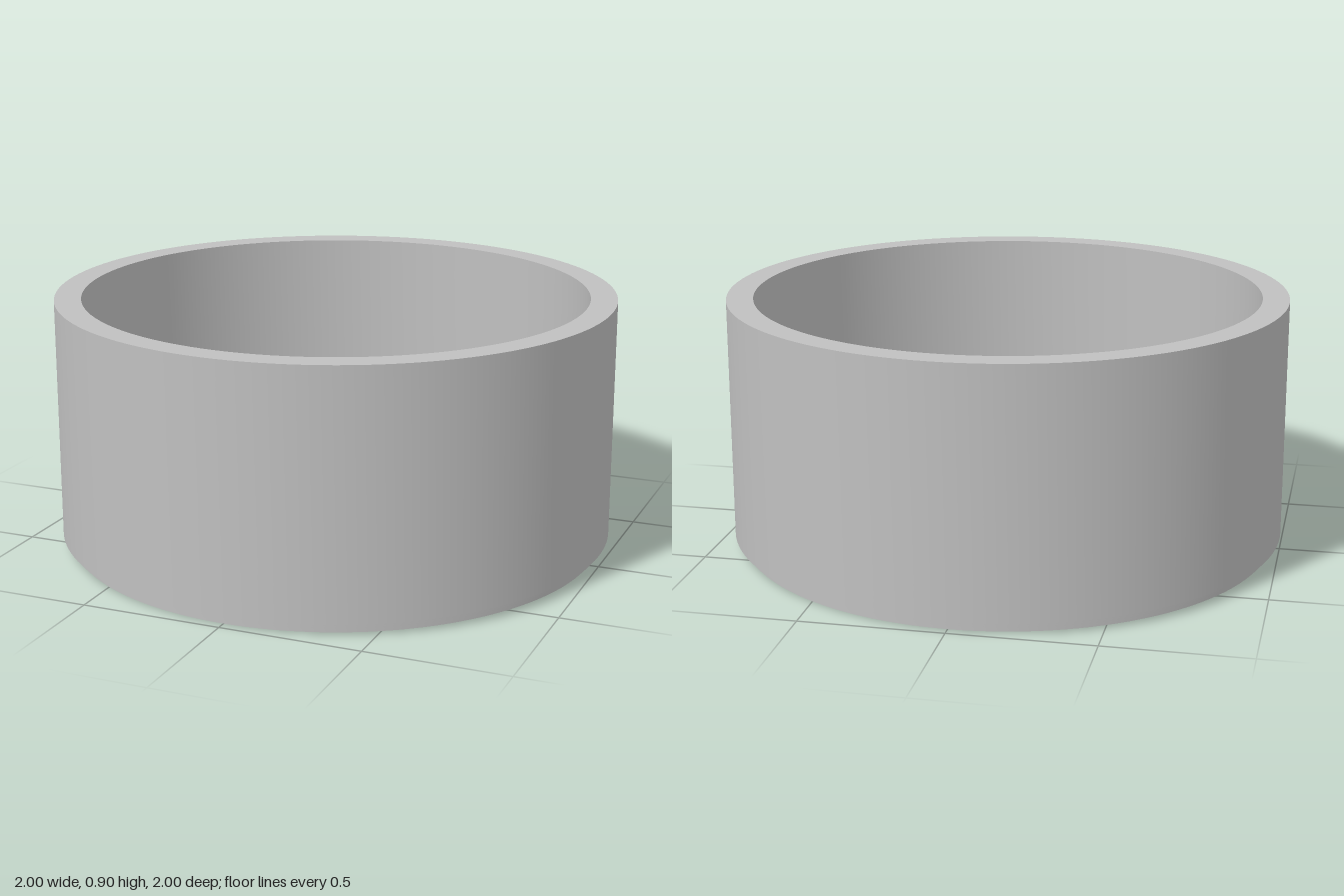
import * as THREE from 'three';
import { toCreasedNormals } from 'three/addons/utils/BufferGeometryUtils.js';

const rad = THREE.MathUtils.degToRad;

export function createModel() {
  const group = new THREE.Group();
  const grey = new THREE.MeshStandardMaterial({ color: 0xc0c0c0 });
  grey.name = 'light grey';

  function add(name, geometry, crease = 0.6) {
    const mesh = new THREE.Mesh(toCreasedNormals(geometry, crease), grey);
    mesh.name = name;
    group.add(mesh);
    return mesh;
  }

  // Extrudes a shape drawn in the (x, z) plane between two heights
  function slab(shape, bottom, top) {
    const geometry = new THREE.ExtrudeGeometry(shape, {
      depth: top - bottom, bevelEnabled: false, curveSegments: 64,
    });
    return geometry.rotateX(Math.PI / 2).translate(0, top, 0);
  }

  function disc(radius) {
    return new THREE.Shape().absarc(0, 0, radius, 0, Math.PI * 2, false);
  }

  const recessTop = 0.04, floorY = 0.145, height = 0.905;

  // Cup: recess ceiling, stepped lower edge, outer wall, rim, inner wall, floor
  const profile = [
    [0, recessTop], [0.95, recessTop], [0.95, 0.013], [0.977, 0.013],
    [0.977, 0.027], [0.988, 0.027], [0.988, recessTop], [1, recessTop],
    [1, height], [0.905, height], [0.905, floorY], [0, floorY],
  ].map(([r, y]) => new THREE.Vector2(r, y));
  add('cup', new THREE.LatheGeometry(profile, 128));

  // Base ring with an eight-lobed wavy opening
  const phase = rad(155);
  const wave = [];
  for (let i = 0; i < 192; i++) {
    const a = -i / 192 * Math.PI * 2;
    const r = 0.857 + 0.075 * Math.cos(8 * (a - phase));
    wave.push(new THREE.Vector2(r * Math.cos(a), r * Math.sin(a)));
  }
  const base = disc(0.965);
  base.holes.push(new THREE.Path(wave));
  add('baseRing', slab(base, 0, recessTop));

  // Rounded tread bars, one in each lobe, each turned its own way
  const bar = new THREE.Shape();
  const half = 0.078, w = 0.03;
  bar.absarc(half, 0, w, -Math.PI / 2, Math.PI / 2, false);
  bar.absarc(-half, 0, w, Math.PI / 2, Math.PI * 1.5, false);
  const turns = [81, -22, 61, 29, 125, 17, 106, 7];
  turns.forEach((turn, i) => {
    const a = phase + i * Math.PI / 4;
    const mesh = add('treadBar' + (i + 1), slab(bar, 0, recessTop));
    mesh.position.set(0.755 * Math.cos(a), 0, 0.755 * Math.sin(a));
    mesh.rotation.y = -rad(turn + 135);
  });

  // Central post with a cross-shaped socket
  const L = 0.127, t = 0.04;
  const post = disc(0.168);
  const corners = [
    [t, L], [t, t], [L, t], [L, -t], [t, -t], [t, -L],
    [-t, -L], [-t, -t], [-L, -t], [-L, t], [-t, t], [-t, L],
  ].map(([x, z]) => new THREE.Vector2(x, z));
  post.holes.push(new THREE.Path(corners));
  add('centrePost', slab(post, floorY, 0.41));

  return group;
}
